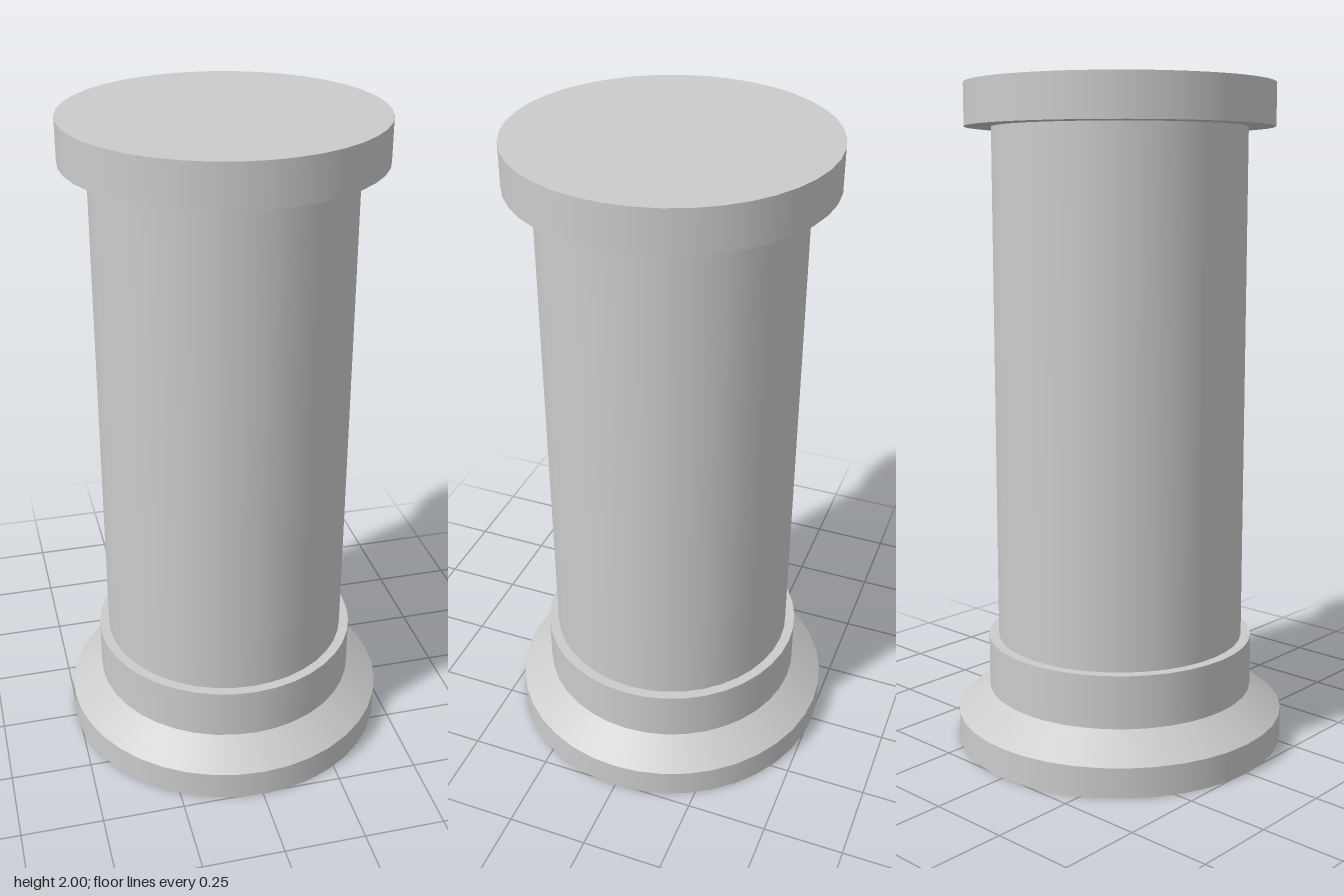
import * as THREE from 'three';

const SIDES = 40;
const material = new THREE.MeshStandardMaterial({ color: 0xcccccc, side: THREE.DoubleSide });

// One turned section from y0 to y1; open sections are thin shells without end faces
function section(name, rBottom, rTop, y0, y1, open) {
  const geometry = new THREE.CylinderGeometry(rTop, rBottom, y1 - y0, SIDES, 1, open);
  const mesh = new THREE.Mesh(geometry, material);
  mesh.name = name;
  mesh.position.y = (y0 + y1) / 2;
  return mesh;
}

export function createModel() {
  const column = new THREE.Group();
  column.name = 'column';

  // Hollow base, open underneath
  const base = new THREE.Group();
  base.name = 'base';
  base.add(
    section('baseFoot', 0.507, 0.507, 0, 0.09, true),
    section('baseSlope', 0.507, 0.41, 0.09, 0.165, true),
    section('baseCollar', 0.41, 0.41, 0.165, 0.325, true)
  );

  // Flat ledge between collar and shaft
  const ledge = new THREE.Mesh(new THREE.RingGeometry(0.38, 0.41, SIDES, 1), material);
  ledge.name = 'collarLedge';
  ledge.rotation.x = -Math.PI / 2;
  ledge.position.y = 0.325;
  base.add(ledge);

  // Solid shaft and capital
  column.add(
    base,
    section('shaft', 0.38, 0.38, 0.325, 1.875, false),
    section('capital', 0.46, 0.46, 1.875, 2, false)
  );
  return column;
}
